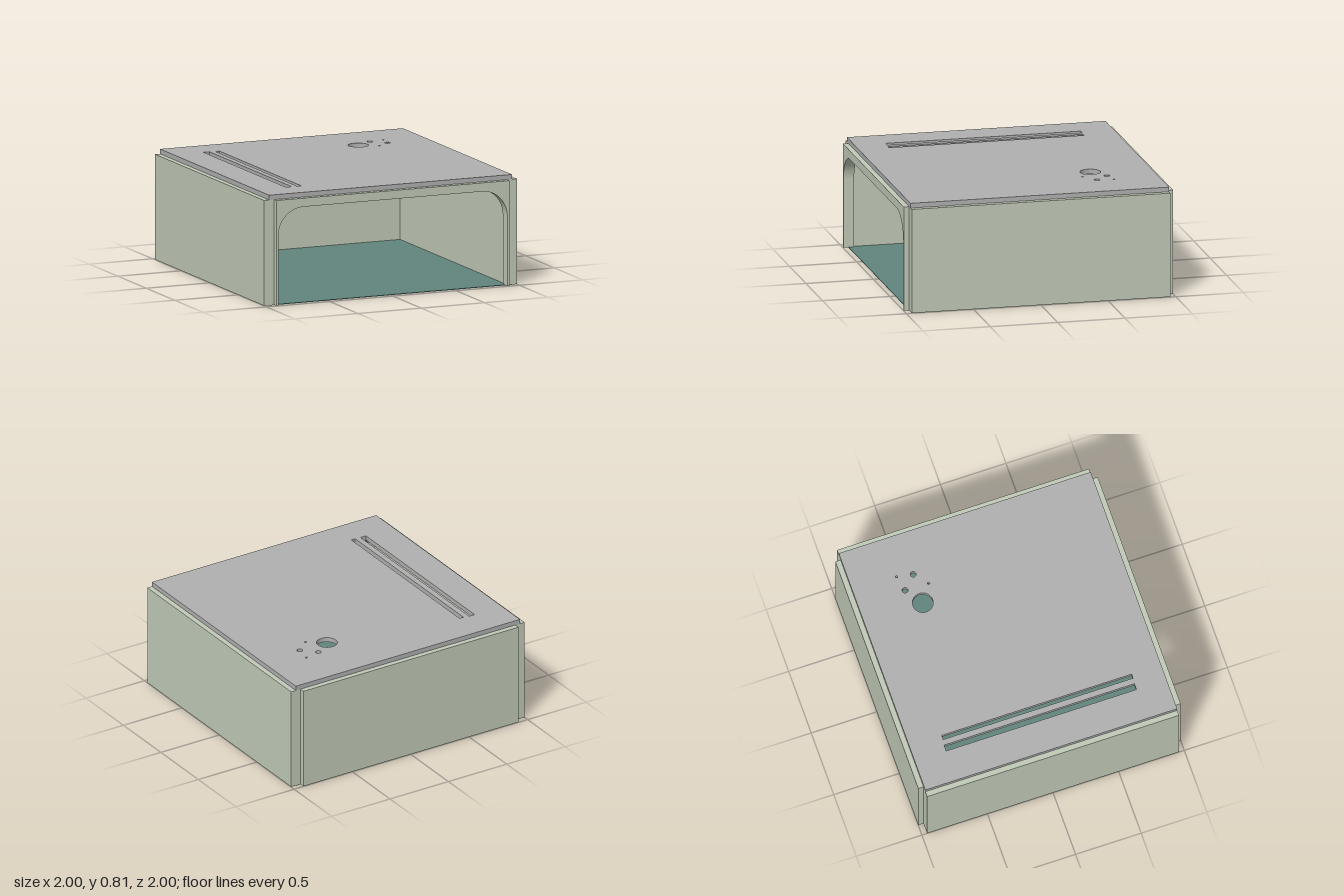
import * as THREE from 'three';

const GREEN = 0xc1cab8, GREY = 0xb0b0b0, TEAL = 0x62857c;
const WALL_H = 0.775, LID_H = 0.035, OUT = 1, LIP = 0.96, IN = 0.92;

function part(name, geometry, color, x = 0, y = 0, z = 0) {
  const mesh = new THREE.Mesh(geometry, new THREE.MeshStandardMaterial({ color }));
  mesh.name = name;
  mesh.position.set(x, y, z);
  return mesh;
}

function rectPath(PathClass, x0, y0, x1, y1) {
  const p = new PathClass();
  p.moveTo(x0, y0);
  p.lineTo(x1, y0);
  p.lineTo(x1, y1);
  p.lineTo(x0, y1);
  p.closePath();
  return p;
}

// Front frame: an upright panel with a round-cornered opening reaching the ground
function frontGeometry() {
  const w = 0.905, top = 0.712, r = 0.2, base = 0.002;
  const s = new THREE.Shape();
  s.moveTo(-IN, base);
  s.lineTo(-w, base);
  s.lineTo(-w, top - r);
  s.absarc(-w + r, top - r, r, Math.PI, Math.PI / 2, true);
  s.lineTo(w - r, top);
  s.absarc(w - r, top - r, r, Math.PI / 2, 0, true);
  s.lineTo(w, base);
  s.lineTo(IN, base);
  s.lineTo(IN, WALL_H);
  s.lineTo(-IN, WALL_H);
  s.closePath();
  return new THREE.ExtrudeGeometry(s, { depth: OUT - IN, bevelEnabled: false, curveSegments: 16 });
}

// Lid: a slab with two long slots and a cluster of round holes
function lidGeometry() {
  const s = rectPath(THREE.Shape, -LIP, -LIP, LIP, LIP);
  s.holes.push(rectPath(THREE.Path, -0.725, -0.73, -0.678, 0.72));
  s.holes.push(rectPath(THREE.Path, -0.635, -0.735, -0.602, 0.712));
  const holes = [
    [0.405, -0.51, 0.075], [0.537, -0.6, 0.021], [0.634, -0.505, 0.021],
    [0.655, -0.625, 0.008], [0.532, -0.422, 0.008],
  ];
  for (const [x, z, r] of holes) {
    const h = new THREE.Path();
    h.absarc(x, -z, r, 0, Math.PI * 2, true);
    s.holes.push(h);
  }
  const g = new THREE.ExtrudeGeometry(s, { depth: LID_H, bevelEnabled: false, curveSegments: 16 });
  return g.rotateX(-Math.PI / 2);
}

export function createModel() {
  const model = new THREE.Group();
  model.name = 'cabinet';
  const h = WALL_H - 0.002, midY = 0.002 + h / 2, mid = (IN + OUT) / 2, t = OUT - IN;

  // Side walls stop short of the front and back, leaving stepped corners
  for (const [name, side] of [['leftWall', 1], ['rightWall', -1]]) {
    model.add(part(name, new THREE.BoxGeometry(t, h, LIP * 2), GREEN, side * mid, midY, 0));
  }
  model.add(part('backWall', new THREE.BoxGeometry(IN * 2, h, t), GREEN, 0, midY, -mid));
  model.add(part('frontFrame', frontGeometry(), GREEN, 0, 0, IN));

  model.add(part('lid', lidGeometry(), GREY, 0, WALL_H, 0));

  // Thin floor sheet under the walls
  model.add(part('floor', new THREE.BoxGeometry(LIP * 2, 0.004, LIP * 2), TEAL, 0, 0.002, 0));
  return model;
}
